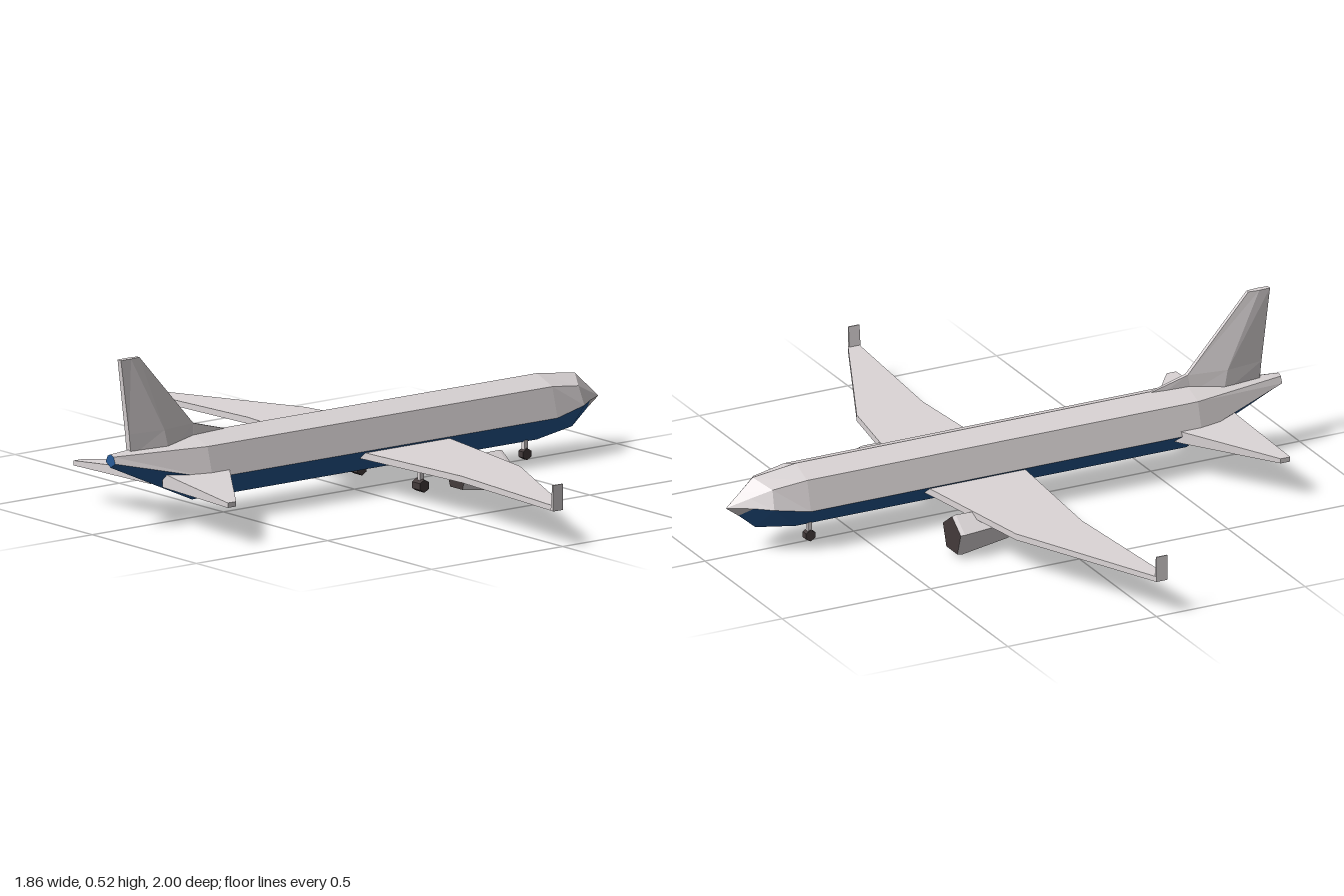
import * as THREE from 'three';

const mat = (name, color) => {
  const m = new THREE.MeshStandardMaterial({ color, flatShading: true });
  m.name = name;
  return m;
};

// Skin a list of equal-length rings; paint(ring, side) picks a material index
function loft(rings, paint = () => 0, capPaint = [0, 0]) {
  const tris = [];
  const add = (a, b, c, m) => tris.push({ p: [a, b, c].map((v) => new THREE.Vector3(...v)), m });
  const n = rings[0].length;
  for (let i = 0; i < rings.length - 1; i++) {
    for (let j = 0; j < n; j++) {
      const k = (j + 1) % n;
      const [a, b, c, d] = [rings[i][j], rings[i][k], rings[i + 1][k], rings[i + 1][j]];
      add(a, b, c, paint(i, j));
      add(a, c, d, paint(i, j));
    }
  }
  const first = rings[0], last = rings[rings.length - 1];
  for (let j = 1; j < n - 1; j++) {
    add(first[0], first[j + 1], first[j], capPaint[0]);
    add(last[0], last[j], last[j + 1], capPaint[1]);
  }
  const solid = tris.filter(({ p }) => new THREE.Triangle(...p).getArea() > 1e-9);
  // Turn the whole skin outward if its signed volume is negative
  const volume = solid.reduce((s, { p }) => s + p[0].dot(p[1].clone().cross(p[2])), 0);
  const pos = [];
  const geo = new THREE.BufferGeometry();
  solid.forEach(({ p, m }, i) => {
    (volume < 0 ? [p[0], p[2], p[1]] : p).forEach((v) => pos.push(v.x, v.y, v.z));
    geo.addGroup(i * 3, 3, m);
  });
  geo.setAttribute('position', new THREE.Float32BufferAttribute(pos, 3));
  geo.computeVertexNormals();
  return geo;
}

export function createModel() {
  const group = new THREE.Group();
  const grey = mat('light grey paint', 0xdcd6d7);
  const blue = mat('blue belly paint', 0x285d9a);
  const dark = mat('dark rubber and intake', 0x443b3b);

  const part = (name, geo, material, parent = group) => {
    const mesh = new THREE.Mesh(geo, material);
    mesh.name = name;
    parent.add(mesh);
    return mesh;
  };

  // Fuselage stations: ridge [x,y], shoulder [x,y,z], side [x,y,z], keel [x,y]
  const stations = [
    [[-0.93, 0.236], [-0.93, 0.23, 0.014], [-0.93, 0.21, 0.023], [-0.93, 0.195]],
    [[-0.62, 0.258], [-0.62, 0.23, 0.075], [-0.62, 0.138, 0.1], [-0.62, 0.055]],
    [[0.695, 0.258], [0.695, 0.23, 0.075], [0.695, 0.138, 0.1], [0.695, 0.055]],
    [[0.84, 0.24], [0.805, 0.215, 0.062], [0.81, 0.158, 0.084], [0.83, 0.077]],
    [[0.885, 0.198], [0.865, 0.187, 0.031], [0.86, 0.16, 0.048], [0.887, 0.125]],
    [[0.93, 0.157], [0.93, 0.157, 0], [0.93, 0.157, 0], [0.93, 0.157]],
  ];
  const rings = stations.map(([t, s, w, k]) => [
    [...t, 0], s, w, [...k, 0], [w[0], w[1], -w[2]], [s[0], s[1], -s[2]],
  ]);
  const belly = (i, j) => ((j === 2 || j === 3) && i < 4 ? 1 : 0);
  part('fuselage', loft(rings, belly, [1, 0]), [grey, blue]);

  // Tail fin: six-sided sections, thickest at mid chord
  const finRing = (y, back, mid, front, wb, wm, wf) => [
    [back, y, wb], [mid, y, wm], [front, y, wf],
    [front, y, -wf], [mid, y, -wm], [back, y, -wb],
  ];
  part('tailFin', loft([
    finRing(0.22, -0.86, -0.73, -0.6, 0.01, 0.03, 0.008),
    finRing(0.29, -0.867, -0.745, -0.62, 0.01, 0.026, 0.007),
    finRing(0.52, -0.897, -0.86, -0.825, 0.008, 0.01, 0.006),
  ]), [grey]);
  part('finFillet', loft([
    [[-0.7, 0.23, 0.012], [-0.7, 0.3, 0.006], [-0.7, 0.3, -0.006], [-0.7, 0.23, -0.012]],
    [[-0.62, 0.23, 0.012], [-0.62, 0.29, 0.007], [-0.62, 0.29, -0.007], [-0.62, 0.23, -0.012]],
    [[-0.5, 0.23, 0.008], [-0.5, 0.257, 0.004], [-0.5, 0.257, -0.004], [-0.5, 0.23, -0.008]],
  ]), [grey]);

  // Slab section of a wing at span z
  const slab = (z, back, front, low, high) => [
    [back, low, z], [front, low, z], [front, high, z], [back, high, z],
  ];

  for (const s of [1, -1]) {
    const side = s > 0 ? 'Front' : 'Rear';

    // Main wing
    part('wing' + side, loft([
      slab(s * 0.02, -0.035, 0.305, 0.11, 0.131),
      slab(s * 0.1, -0.03, 0.29, 0.11, 0.131),
      slab(s * 0.515, 0, 0.222, 0.11, 0.13),
      slab(s * 1, -0.035, 0, 0.112, 0.129),
    ]), [grey]);

    // Upturned wing tip, thinner towards its top
    const tipRing = (y, inner) => [
      [-0.037, y, s * inner], [0, y, s * inner], [0, y, s], [-0.037, y, s],
    ];
    part('winglet' + side, loft([tipRing(0.113, 0.988), tipRing(0.192, 0.996)]), [grey]);

    // Tailplane
    part('tailplane' + side, loft([
      slab(s * 0.03, -0.755, -0.515, 0.116, 0.16),
      slab(s * 0.1, -0.76, -0.555, 0.116, 0.153),
      slab(s * 0.37, -0.777, -0.745, 0.116, 0.131),
    ]), [grey]);

    // Five-sided engine with dark ends
    const ring5 = (x, y, r) => Array.from({ length: 5 }, (_, i) => {
      const a = (i * Math.PI * 2) / 5;
      return [x, y + r * Math.cos(a), s * 0.3 + r * Math.sin(a)];
    });
    part('engine' + side, loft([
      ring5(0.15, 0.075, 0.05), ring5(0.312, 0.065, 0.064), ring5(0.325, 0.065, 0.061),
    ], () => 0, [1, 1]), [grey, dark]);
  }

  // Landing gear
  const gear = (name, x, z, r, width, strutTop) => {
    const g = new THREE.Group();
    g.name = name;
    g.position.set(x, 0, z);
    const strut = part('strut', new THREE.BoxGeometry(0.014, strutTop - r, 0.014), grey, g);
    strut.position.y = (strutTop + r) / 2;
    const wheel = part('wheel', new THREE.CylinderGeometry(r, r, width, 6), dark, g);
    wheel.rotation.x = Math.PI / 2;
    wheel.position.y = r;
    group.add(g);
  };
  gear('mainGearFront', 0.133, 0.15, 0.02, 0.038, 0.118);
  gear('mainGearRear', 0.133, -0.15, 0.02, 0.038, 0.118);
  gear('noseGear', 0.65, 0, 0.018, 0.022, 0.075);

  return group;
}
